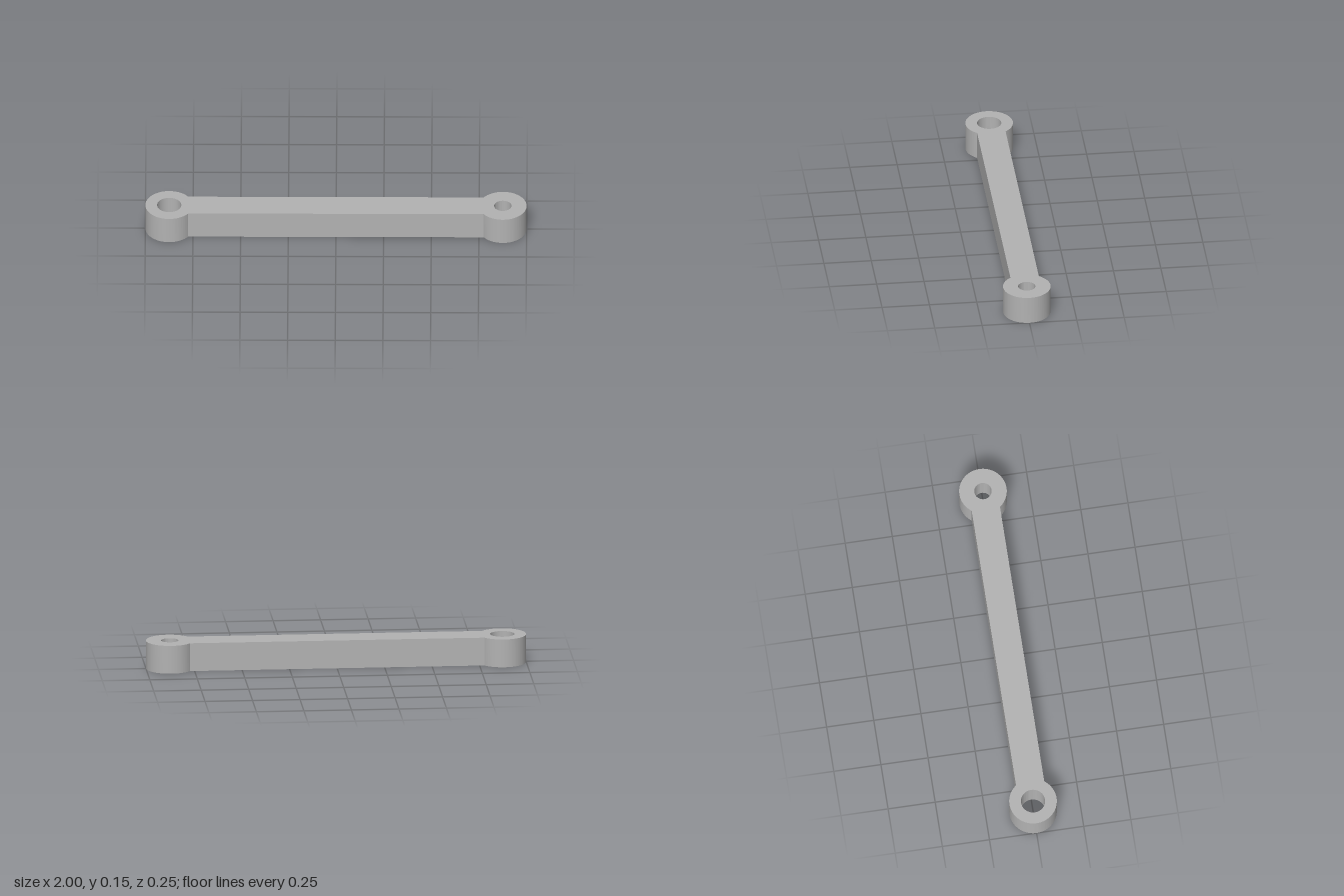
import * as THREE from 'three';
import { toCreasedNormals } from 'three/addons/utils/BufferGeometryUtils.js';

const HEIGHT = 0.15;        // thickness of the link
const HALF_WIDTH = 0.075;   // half the width of the bar
const EYE_RADIUS = 0.125;   // outer radius of both end eyes
const EYE_X = 0.875;        // distance of the eyes from the centre

export function createModel() {
  const group = new THREE.Group();
  group.name = 'connectingLink';
  const metal = new THREE.MeshStandardMaterial({ color: 0xb2b2b2 });
  metal.name = 'grey metal';

  // Outline: two round eyes joined by the straight edges of the bar
  const a = Math.asin(HALF_WIDTH / EYE_RADIUS);
  const outline = new THREE.Shape();
  outline.absarc(EYE_X, 0, EYE_RADIUS, a - Math.PI, Math.PI - a, false);
  outline.absarc(-EYE_X, 0, EYE_RADIUS, a, 2 * Math.PI - a, false);
  outline.closePath();

  // Through holes: the larger one on the right, the smaller on the left
  for (const [x, radius] of [[-EYE_X, 0.0635], [EYE_X, 0.0455]]) {
    const hole = new THREE.Path();
    hole.absarc(x, 0, radius, 0, 2 * Math.PI, true);
    outline.holes.push(hole);
  }

  // Raise the outline from the ground, smooth round the eyes, sharp at the edges
  const geometry = new THREE.ExtrudeGeometry(outline, {
    depth: HEIGHT, bevelEnabled: false, curveSegments: 48,
  });
  geometry.rotateX(-Math.PI / 2);
  const link = new THREE.Mesh(toCreasedNormals(geometry, Math.PI / 6), metal);
  link.name = 'barWithEyes';
  group.add(link);
  return group;
}
